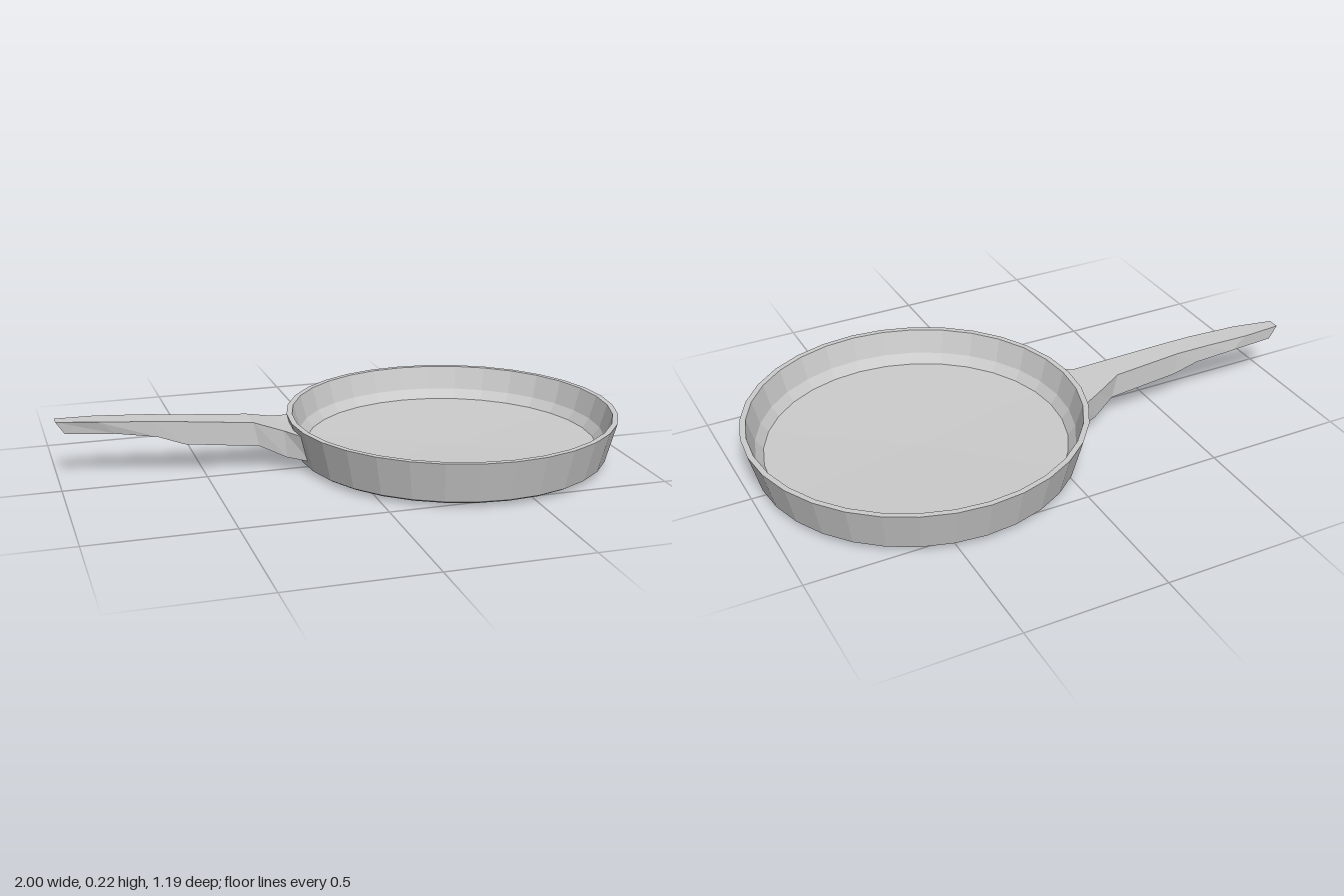
import * as THREE from 'three';

const PAN_X = 0.4;
const BASE = { r: 0.558, y: 0.02 };
const RIM = { r: 0.596, y: 0.165 };
const material = new THREE.MeshStandardMaterial({ color: 0xcccccc, flatShading: true });

// Pan body: one closed profile, underside -> outer wall -> rim -> inner wall -> floor
function createPan() {
  const profile = [
    [0, 0], [0.545, 0.012], [BASE.r, BASE.y], [RIM.r, RIM.y],
    [0.576, RIM.y], [0.552, 0.08], [0.526, 0.046], [0, 0.033],
  ].map(([r, y]) => new THREE.Vector2(r, y));
  const pan = new THREE.Mesh(new THREE.LatheGeometry(profile, 32), material);
  pan.name = 'panBody';
  pan.position.x = PAN_X;
  return pan;
}

// x of a point just inside the outer wall, at height y and depth z
function wallX(y, z) {
  const t = (y - BASE.y) / (RIM.y - BASE.y);
  const r = THREE.MathUtils.lerp(BASE.r, RIM.r, t) - 0.01;
  return PAN_X - Math.sqrt(r * r - z * z);
}

// Handle: six-point cross-sections lofted from the tip to the flared joint
function createHandle() {
  // [top x, top y, bottom x, bottom y, back z, front z]
  const stations = [
    [-1.0, 0.215, -0.97, 0.17, -0.14, -0.098],
    [-0.86, 0.212, -0.8, 0.165, -0.145, -0.066],
    [-0.68, 0.205, -0.66, 0.147, -0.13, -0.044],
    [-0.58, 0.198, -0.57, 0.115, -0.12, -0.034],
    [-0.33, 0.178, -0.31, 0.09, -0.12, -0.012],
    [-0.23, 0.15, -0.22, 0.052, -0.157, 0.026],
  ];
  const rings = stations.map(([tx, ty, bx, by, zb, zf]) => {
    const zm = (zb + zf) / 2;
    return [[tx, ty, zb], [tx, ty, zm], [tx, ty, zf], [bx, by, zf], [bx, by, zm], [bx, by, zb]];
  });
  // Joint ring follows the curve of the pan wall
  rings.push([[0.138, -0.195], [0.138, -0.06], [0.138, 0.08], [0.045, 0.075], [0.045, -0.06], [0.045, -0.19]]
    .map(([y, z]) => [wallX(y, z), y, z]));

  const n = 6;
  const index = [];
  for (let j = 1; j < n - 1; j++) index.push(0, j + 1, j); // tip cap
  for (let i = 0; i < rings.length - 1; i++) {
    for (let j = 0; j < n; j++) {
      const a = i * n + j, b = i * n + ((j + 1) % n);
      index.push(a, b, b + n, a, b + n, a + n);
    }
  }
  const geometry = new THREE.BufferGeometry();
  geometry.setAttribute('position', new THREE.Float32BufferAttribute(rings.flat(2), 3));
  geometry.setIndex(index);
  geometry.computeVertexNormals();
  const handle = new THREE.Mesh(geometry, material);
  handle.name = 'handle';
  return handle;
}

export function createModel() {
  const model = new THREE.Group();
  model.name = 'fryingPan';
  model.add(createPan(), createHandle());
  return model;
}
